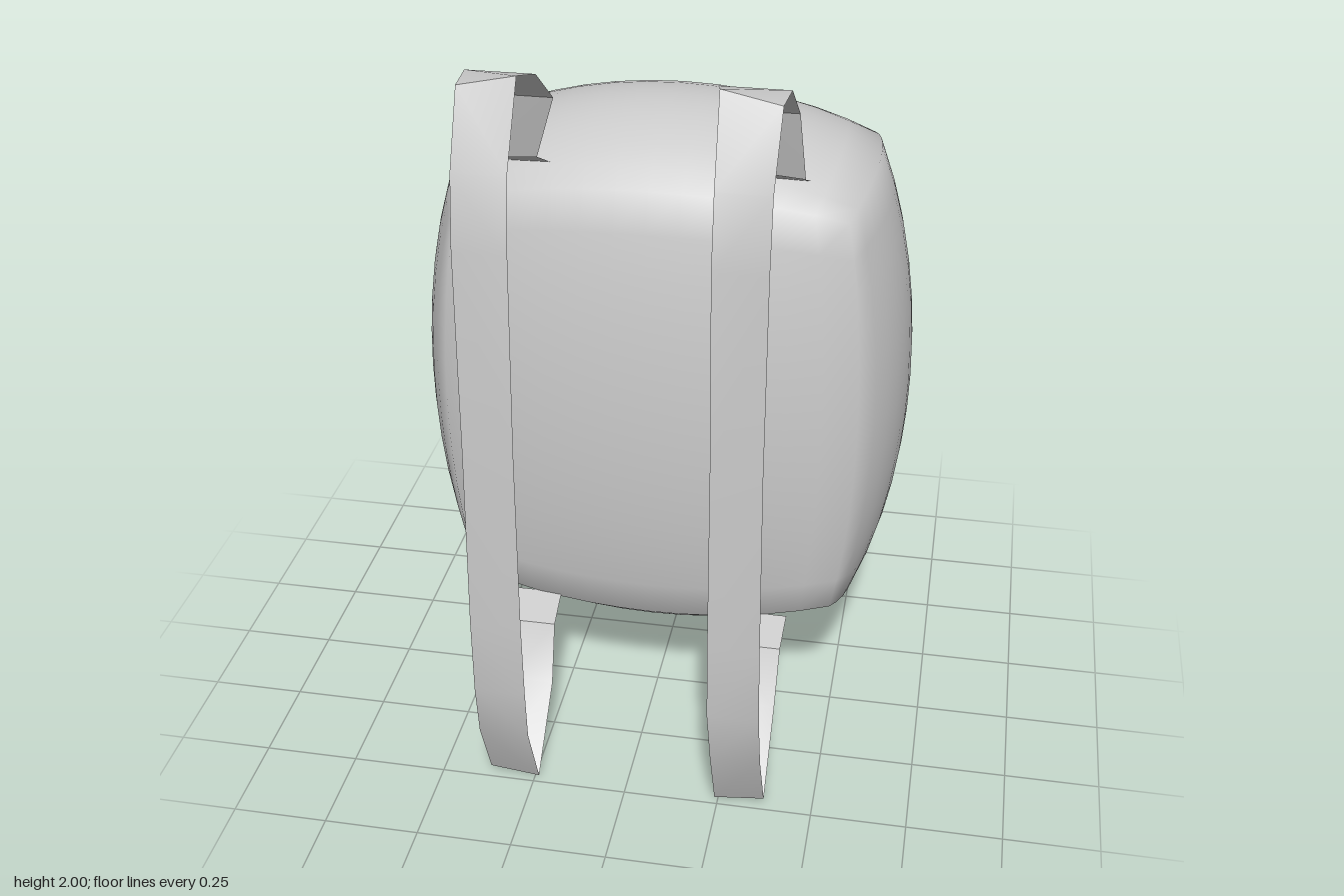
import * as THREE from 'three';
import { mergeVertices, toCreasedNormals } from 'three/addons/utils/BufferGeometryUtils.js';

const fabric = new THREE.MeshStandardMaterial({ color: 0xcccccc });
const webbing = new THREE.MeshStandardMaterial({ color: 0xcccccc, side: THREE.DoubleSide });

// Cushion-like bag: a box blended part of the way towards an ellipsoid
function bagGeometry(hx, hy, hz, roundness) {
  let geo = new THREE.BoxGeometry(2, 2, 2, 12, 12, 12);
  geo.deleteAttribute('uv');
  geo.deleteAttribute('normal');
  geo = mergeVertices(geo);
  const pos = geo.attributes.position;
  const bulge = (a, b) =>
    1 - roundness * (1 - Math.sqrt(1 - a * a / 2 - b * b / 2 + a * a * b * b / 3));
  for (let i = 0; i < pos.count; i++) {
    const x = pos.getX(i), y = pos.getY(i), z = pos.getZ(i);
    pos.setXYZ(i, hx * x * bulge(y, z), hy * y * bulge(x, z), hz * z * bulge(x, y));
  }
  geo.computeVertexNormals();
  return geo;
}

// Strap stations: inner x, outer x, y, z, and the inner edge's rise over the outer edge
const STRAP = [
  [0.26, 0.39, 1.61, 0.04, 0],
  [0.265, 0.388, 1.67, 0.175, 0.01],
  [0.207, 0.375, 1.855, 0.23, 0],
  [0.207, 0.372, 1.97, 0.39, 0],
  [0.225, 0.365, 1.97, 0.49, 0.03],
  [0.23, 0.36, 1.8, 0.585, 0],
  [0.23, 0.36, 1.62, 0.61, 0],
  [0.235, 0.36, 1.1, 0.615, 0],
  [0.235, 0.365, 0.6, 0.615, 0],
  [0.235, 0.367, 0.38, 0.603, 0],
  [0.24, 0.37, 0.22, 0.57, 0],
  [0.24, 0.372, 0.02, 0.475, -0.015],
  [0.24, 0.372, 0.18, 0.295, 0],
  [0.245, 0.375, 0.33, 0.23, 0],
  [0.25, 0.378, 0.36, 0.12, 0],
];

// Flat ribbon through the stations
function strapGeometry(side) {
  const points = [], index = [];
  STRAP.forEach(([inner, outer, y, z, rise], i) => {
    points.push(side * inner, y + rise, z, side * outer, y, z);
    if (i === 0) return;
    const a = 2 * i - 2, b = a + 1, c = a + 2, d = a + 3;
    if (side > 0) index.push(a, c, b, b, c, d);
    else index.push(a, b, c, b, d, c);
  });
  const geo = new THREE.BufferGeometry();
  geo.setAttribute('position', new THREE.Float32BufferAttribute(points, 3));
  geo.setIndex(index);
  return toCreasedNormals(geo, 0.5);
}

export function createModel() {
  const model = new THREE.Group();
  model.name = 'backpack';

  const bag = new THREE.Mesh(bagGeometry(0.655, 0.757, 0.412, 0.59), fabric);
  bag.name = 'bag';
  bag.position.set(0, 0.964, -0.206);
  model.add(bag);

  // Shoulder straps
  for (const side of [1, -1]) {
    const strap = new THREE.Mesh(strapGeometry(side), webbing);
    strap.name = side > 0 ? 'leftStrap' : 'rightStrap';
    model.add(strap);
  }
  return model;
}
